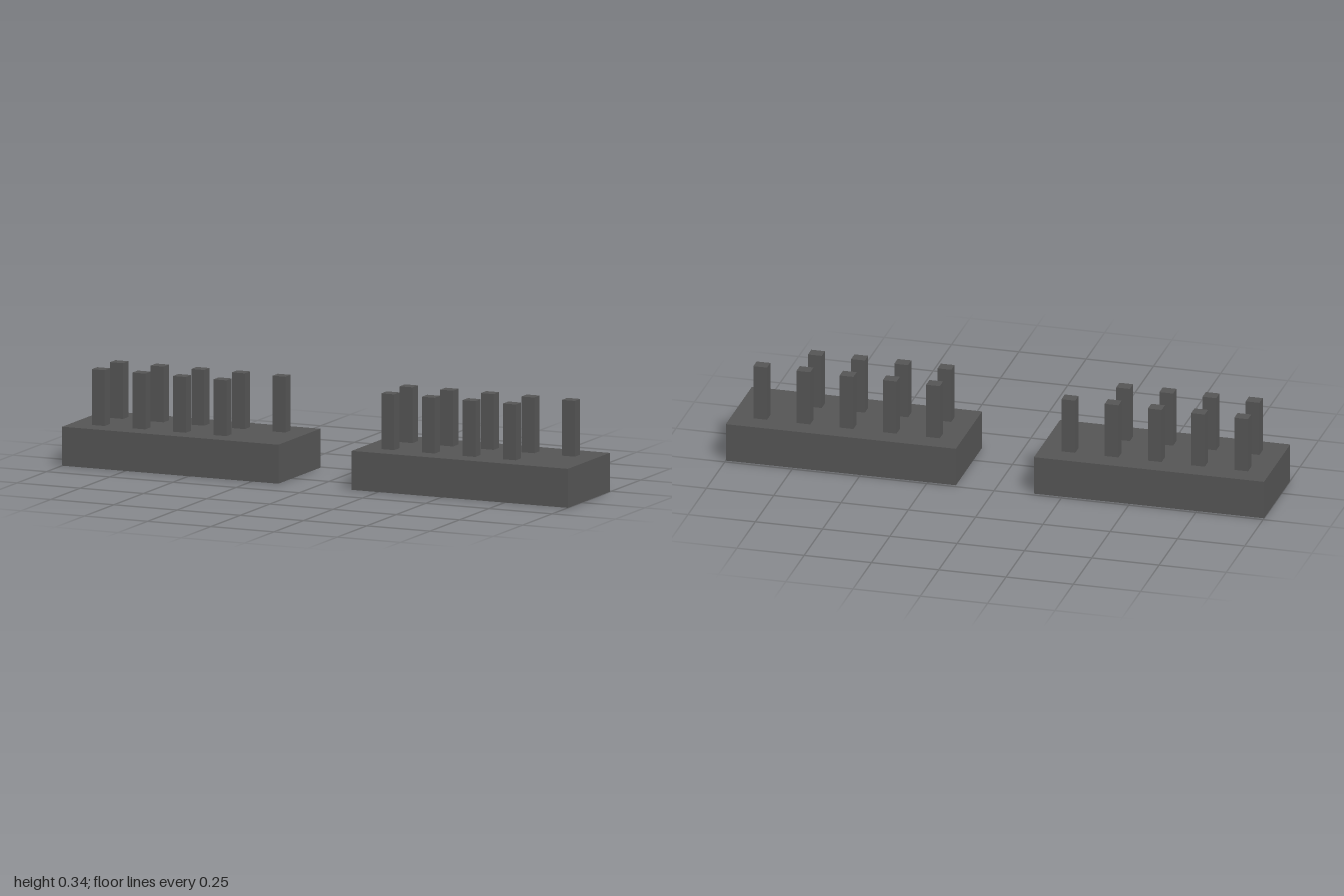
import * as THREE from 'three';

const BASE = { width: 0.855, height: 0.142, depth: 0.355, z: -0.06 };
const PIN = { width: 0.051, depth: 0.045, top: 0.345, pitch: 0.1605 };
const ROWS = [
  { name: 'backPin', z: -0.1375, count: 5 },
  { name: 'frontPin', z: 0.018, count: 4 }, // last position left empty as the key
];

const material = new THREE.MeshStandardMaterial({ color: 0x555555 });

// Box standing between two heights
function block(name, width, depth, bottom, top, x, z) {
  const mesh = new THREE.Mesh(new THREE.BoxGeometry(width, top - bottom, depth), material);
  mesh.name = name;
  mesh.position.set(x, (bottom + top) / 2, z);
  return mesh;
}

// One pin header: a base block with two rows of square pins
function pinHeader(name, x) {
  const header = new THREE.Group();
  header.name = name;
  header.position.x = x;
  header.add(block('base', BASE.width, BASE.depth, 0, BASE.height, 0, BASE.z));
  for (const row of ROWS) {
    for (let i = 0; i < row.count; i++) {
      header.add(block(row.name, PIN.width, PIN.depth, BASE.height, PIN.top, (i - 2) * PIN.pitch, row.z));
    }
  }
  return header;
}

export function createModel() {
  const model = new THREE.Group();
  model.name = 'pinHeaders';
  model.add(pinHeader('rightHeader', -0.5725), pinHeader('leftHeader', 0.5725));
  return model;
}
